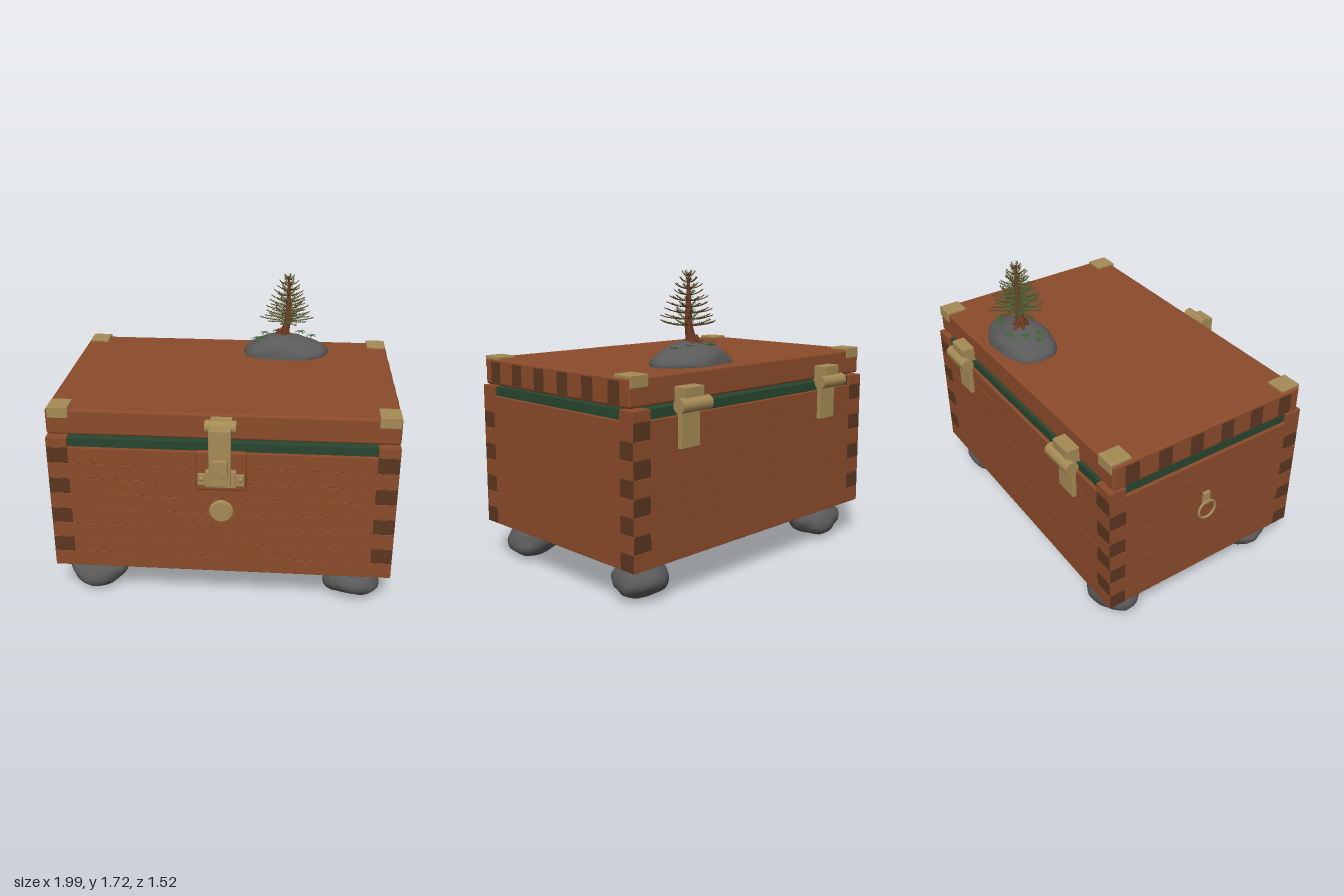
import * as THREE from 'three';
import { RoundedBoxGeometry } from 'three/addons/geometries/RoundedBoxGeometry.js';
import { mergeVertices } from 'three/addons/utils/BufferGeometryUtils.js';

const mat = (name, color, side = THREE.FrontSide) => {
  const m = new THREE.MeshStandardMaterial({ color, side });
  m.name = name;
  return m;
};
const wood = mat('wood', 0x8b4b2a);
const endGrain = mat('end grain', 0x5b3620);
const brass = mat('brass', 0xa58a55);
const lining = mat('green lining', 0x28462f);
const stone = mat('stone', 0x5a5a5a);
const bark = mat('bark', 0x6f3b24);
const needles = mat('needles', 0x3b6232, THREE.DoubleSide);

// Main bounds: outer walls of the chest
const X0 = -0.97, X1 = 0.99, Z0 = -0.68, Z1 = 0.63, CX = 0.012;

function add(parent, name, geo, material, x = 0, y = 0, z = 0) {
  const m = new THREE.Mesh(geo, material);
  m.name = name;
  m.position.set(x, y, z);
  parent.add(m);
  return m;
}

// Softened box given by its minimum and maximum on each axis
function block(parent, name, material, x0, x1, y0, y1, z0, z1, r = 0.005) {
  return add(parent, name, new RoundedBoxGeometry(x1 - x0, y1 - y0, z1 - z0, 2, r), material,
    (x0 + x1) / 2, (y0 + y1) / 2, (z0 + z1) / 2);
}

function group(parent, name) {
  const g = new THREE.Group();
  g.name = name;
  parent.add(g);
  return g;
}

// Lumpy boulder; floor is the lowest height kept, as a share of the radius
function boulder(rx, ry, rz, seed, floor = -1) {
  const ico = new THREE.IcosahedronGeometry(1, 5);
  ico.deleteAttribute('normal');
  ico.deleteAttribute('uv');
  const geo = mergeVertices(ico, 1e-4);
  const p = geo.attributes.position, v = new THREE.Vector3();
  for (let i = 0; i < p.count; i++) {
    v.fromBufferAttribute(p, i);
    const n = Math.sin(v.x * 3.1 + seed) * Math.sin(v.y * 3.7 + seed * 2) * 0.07
      + Math.sin(v.z * 4.3 + seed * 3 + v.x * 2) * 0.05
      + Math.sin(v.x * 9 + seed) * Math.sin(v.z * 8 + v.y * 7) * 0.025;
    v.multiplyScalar(0.97 + n);
    p.setXYZ(i, v.x * rx, Math.max(v.y, floor) * ry, v.z * rz);
  }
  geo.computeVertexNormals();
  return geo;
}

function buildBody(root) {
  const body = group(root, 'chestBody');
  const tx = 0.12, tz = 0.103, rows = 8, h = (0.99 - 0.22) / rows;
  const endsX = [endGrain, endGrain, wood, wood, wood, wood];
  const endsZ = [wood, wood, wood, wood, endGrain, endGrain];
  // Interlocking boards, long in x on even rows and long in z on odd rows
  for (let i = 0; i < rows; i++) {
    const y0 = 0.22 + i * h, y1 = y0 + h, even = i % 2 === 0;
    const ix = even ? 0 : tx, iz = even ? tz : 0;
    for (const [a, b] of [[Z1 - tz, Z1], [Z0, Z0 + tz]])
      block(body, 'longBoard', even ? endsX : wood, X0 + ix, X1 - ix, y0, y1, a, b, 0.003);
    for (const [a, b] of [[X0, X0 + tx], [X1 - tx, X1]])
      block(body, 'sideBoard', even ? wood : endsZ, a, b, y0, y1, Z0 + iz, Z1 - iz, 0.003);
  }
  block(body, 'base', wood, -0.885, 0.91, 0.19, 0.3, -0.58, 0.54);
  block(body, 'lining', lining, X0 + 0.02, X1 - 0.02, 0.9, 1.045, Z0 + 0.02, Z1 - 0.02);
  for (const x of [X0, X1 - tx]) for (const z of [Z0, Z1 - tz])
    block(body, 'cornerPost', wood, x, x + tx, 0.99, 1.048, z, z + tz, 0.003);
}

function buildLid(root) {
  const lid = group(root, 'lid');
  block(lid, 'lidBoard', wood, X0, X1, 1.056, 1.208, -0.656, 0.6, 0.015);
  // Joint ends inlaid on both short sides
  for (let i = 0; i < 6; i++) {
    const z = 0.495 - i * 0.207;
    for (const x of [X0, X1])
      add(lid, 'jointEnd', new THREE.BoxGeometry(0.006, 0.12, 0.085), endGrain, x, 1.13, z);
  }
  // Corner caps folded over the front and back edges
  for (const x of [-0.957, 0.867]) for (const [z0, z1, f] of [[0.477, 0.606, 0.596], [-0.662, -0.535, -0.662]]) {
    block(lid, 'cornerCap', brass, x, x + 0.118, 1.2, 1.222, z0, z1);
    block(lid, 'cornerCapFlap', brass, x, x + 0.118, 1.157, 1.22, f, f + 0.01, 0.003);
  }
}

const rod = (parent, name, r, len, x, y, z) => {
  add(parent, name, new THREE.CylinderGeometry(r, r, len, 20), brass, x, y, z).rotation.z = Math.PI / 2;
};

function buildFittings(root) {
  // Front latch on a wooden backing plate
  const latch = group(root, 'latch');
  block(latch, 'backingPlate', wood, CX - 0.143, CX + 0.143, 0.765, 1.005, Z1 - 0.01, 0.654, 0.012);
  block(latch, 'catchPlate', brass, CX - 0.13, CX + 0.13, 0.803, 0.875, 0.645, 0.668);
  block(latch, 'catchBlock', brass, CX - 0.085, CX + 0.085, 0.8, 0.9, 0.645, 0.685);
  for (const s of [-1, 1])
    add(latch, 'rivet', new THREE.SphereGeometry(0.014, 12, 8), brass, CX + s * 0.108, 0.845, 0.668);
  block(latch, 'lidLeaf', brass, CX - 0.06, CX + 0.06, 1.135, 1.195, 0.595, 0.65);
  rod(latch, 'latchBarrel', 0.036, 0.172, CX, 1.163, 0.66);
  block(latch, 'latchArm', brass, CX - 0.061, CX + 0.061, 1.135, 1.172, 0.66, 0.74);
  block(latch, 'latchStrap', brass, CX - 0.061, CX + 0.061, 0.838, 1.165, 0.712, 0.741);
  block(latch, 'latchPad', brass, CX - 0.043, CX + 0.043, 0.9, 1.0, 0.735, 0.758);
  block(latch, 'latchTongue', brass, CX - 0.035, CX + 0.035, 0.845, 0.88, 0.68, 0.72);

  // Round medallion with a raised rim
  const medal = group(root, 'medallion');
  medal.position.set(CX, 0.63, Z1);
  add(medal, 'rim', new THREE.TorusGeometry(0.058, 0.012, 10, 32), brass, 0, 0, 0.012);
  add(medal, 'disc', new THREE.CylinderGeometry(0.055, 0.06, 0.036, 32), brass, 0, 0, 0.008).rotation.x = Math.PI / 2;

  // Two back hinges
  for (const x of [-0.583, 0.609]) {
    const hinge = group(root, 'hinge');
    rod(hinge, 'hingeBarrel', 0.039, 0.218, x, 1.047, -0.723);
    block(hinge, 'upperLeaf', brass, x - 0.072, x + 0.072, 1.045, 1.14, -0.732, -0.645);
    block(hinge, 'lowerLeaf', brass, x - 0.072, x + 0.072, 0.815, 1.05, -0.703, -0.672);
  }

  // Ring pull on the right side
  const pull = group(root, 'ringPull');
  add(pull, 'ring', new THREE.TorusGeometry(0.058, 0.008, 8, 32), brass, -0.991, 0.648, -0.04).rotation.y = Math.PI / 2;
  block(pull, 'ringBracket', brass, -0.99, -0.965, 0.68, 0.765, -0.062, -0.018);
}

// One flat frond: paired needles along a curved spine
function frond(out, curve, width, pairs) {
  const up = new THREE.Vector3(0, 1, 0);
  for (let i = 0; i < pairs; i++) {
    const t = (i + 0.6) / pairs;
    const c = curve.getPoint(t), dir = curve.getTangent(t);
    const side = new THREE.Vector3().crossVectors(dir, up).normalize();
    const w = width * Math.min(1, 0.55 + t * 1.5) * (1.15 - t * 0.75), half = curve.getLength() / pairs * 0.42;
    for (const s of [-1, 1]) {
      const a = c.clone().addScaledVector(dir, -half), b = c.clone().addScaledVector(dir, half);
      const tip = c.clone().addScaledVector(side, s * w).addScaledVector(dir, w * 0.8).addScaledVector(up, w * 0.2);
      for (const q of s > 0 ? [a, b, tip] : [b, a, tip]) out.push(q.x, q.y, q.z);
    }
  }
}

function needleMesh(parent, name, out) {
  const geo = new THREE.BufferGeometry();
  geo.setAttribute('position', new THREE.Float32BufferAttribute(out, 3));
  geo.computeVertexNormals();
  add(parent, name, geo, needles);
}

function buildTree(root) {
  const island = group(root, 'rockWithTree');
  island.position.set(0.332, 1.205, -0.43);
  add(island, 'rock', boulder(0.265, 0.125, 0.185, 2.2, -0.05), stone);

  // Leaning, tapered trunk with a flared foot
  const lean = y => -0.012 + 0.03 * Math.min(1, Math.max(0, (y - 0.1) / 0.12));
  const trunk = new THREE.CylinderGeometry(0.005, 0.032, 0.43, 10, 12);
  trunk.translate(0, 0.285, 0);
  const p = trunk.attributes.position;
  for (let i = 0; i < p.count; i++) {
    const y = p.getY(i), k = 1 + 0.6 * Math.max(0, 1 - (y - 0.07) / 0.09);
    p.setXYZ(i, p.getX(i) * k + lean(y), y, p.getZ(i) * k);
  }
  trunk.computeVertexNormals();
  add(island, 'trunk', trunk, bark);
  for (let i = 0; i < 6; i++) {
    const a = i * 1.05 + 0.3, c = Math.cos(a), s = Math.sin(a);
    const path = new THREE.QuadraticBezierCurve3(new THREE.Vector3(c * 0.02 - 0.012, 0.16, s * 0.02),
      new THREE.Vector3(c * 0.035 - 0.012, 0.115, s * 0.035), new THREE.Vector3(c * 0.075 - 0.012, 0.1, s * 0.075));
    add(island, 'root', new THREE.TubeGeometry(path, 6, 0.012, 6), bark);
  }

  // Tiers of upturned branches, shorter towards the top
  const foliage = [], tiers = 9;
  for (let k = 0; k < tiers; k++) {
    const t = k / (tiers - 1), y = 0.215 + t * 0.265, R = 0.035 + 0.135 * Math.pow(1 - t, 0.85), n = 10 - Math.round(t * 4);
    for (let j = 0; j < n; j++) {
      const a = (j + (k % 2) * 0.5) / n * Math.PI * 2 + k * 0.23;
      const r = R * (0.93 + 0.1 * Math.sin(j * 4.1 + k * 2.3)), c = Math.cos(a), s = Math.sin(a), x = lean(y);
      const curve = new THREE.QuadraticBezierCurve3(new THREE.Vector3(x, y, 0),
        new THREE.Vector3(x + c * r * 0.6, y - 0.002, s * r * 0.6), new THREE.Vector3(x + c * r, y + 0.022 + t * 0.008, s * r));
      frond(foliage, curve, 0.02 + 0.012 * (1 - t), 7 + Math.round(5 * (1 - t)));
      add(island, 'branch', new THREE.TubeGeometry(curve, 4, 0.0025, 4), bark);
    }
  }
  needleMesh(island, 'foliage', foliage);

  // Low leafy tufts lying on the rock: x, height, z
  const tufts = [];
  for (const [x, y, z] of [[-0.18, 0.085, 0.02], [-0.13, 0.103, -0.04], [-0.14, 0.1, 0.05], [0.1, 0.1, -0.09], [-0.05, 0.095, -0.11], [0.17, 0.088, -0.05]])
    for (let j = 0; j < 7; j++) {
      const a = j * 0.9 + x * 20, c = Math.cos(a) * 0.035, s = Math.sin(a) * 0.03;
      frond(tufts, new THREE.QuadraticBezierCurve3(new THREE.Vector3(x, y + 0.008, z),
        new THREE.Vector3(x + c * 0.5, y + 0.022, z + s * 0.5), new THREE.Vector3(x + c, y + 0.01, z + s)), 0.014, 4);
    }
  needleMesh(island, 'tufts', tufts);
}

export function createModel() {
  const root = new THREE.Group();
  root.name = 'chest';
  buildBody(root);
  buildLid(root);
  buildFittings(root);
  buildTree(root);
  // Boulder feet
  let seed = 1;
  for (const x of [-0.757, 0.783]) for (const z of [0.452, -0.505])
    add(root, 'stoneFoot', boulder(0.178, 0.108, 0.15, seed++ * 1.7), stone, x, 0.108, z);
  return root;
}
